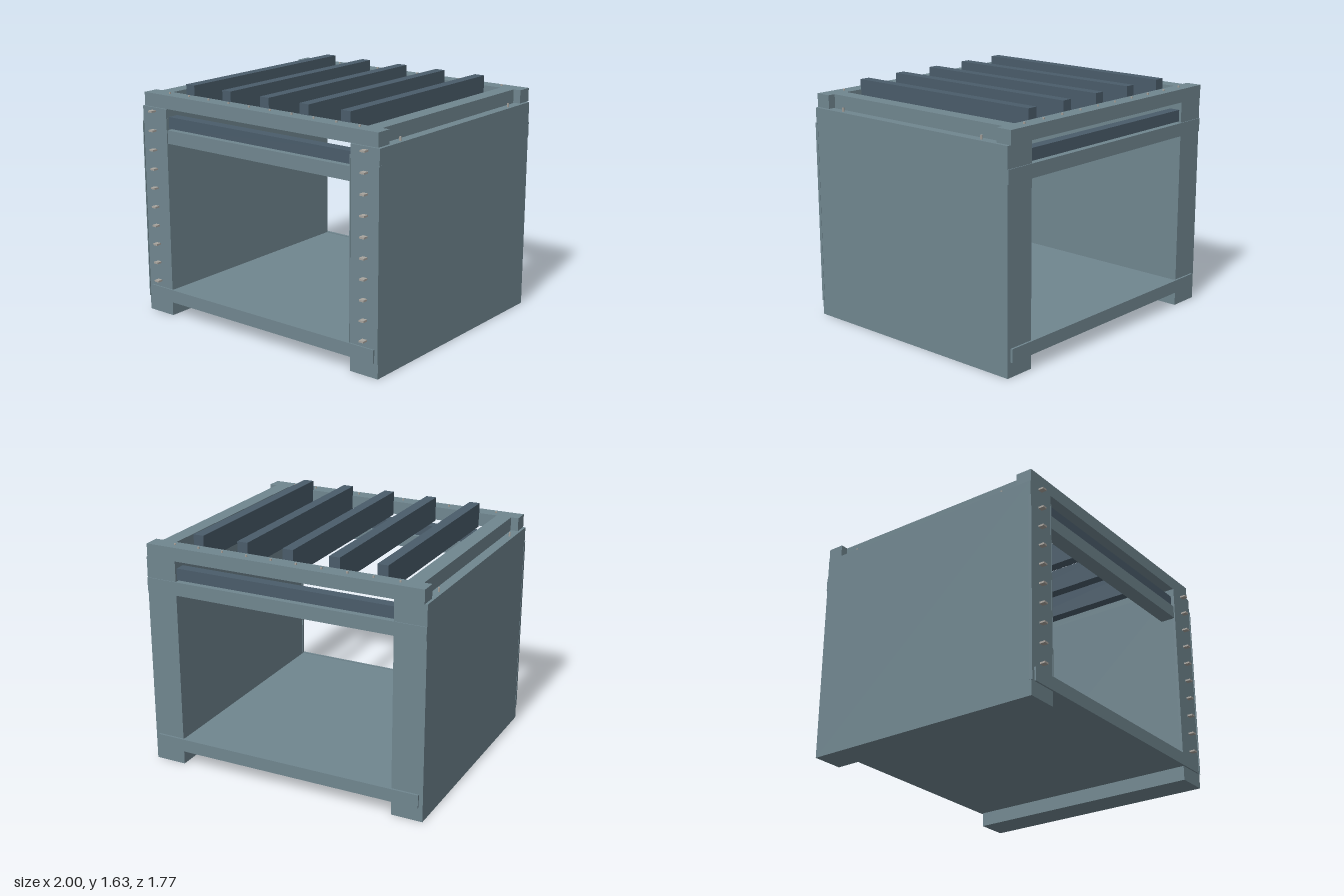
import * as THREE from 'three';

const paint = new THREE.MeshStandardMaterial({ color: 0x70868f });
paint.name = 'blue grey panel';
const dark = new THREE.MeshStandardMaterial({ color: 0x4a5c6a });
dark.name = 'dark slate';
const metal = new THREE.MeshStandardMaterial({ color: 0xa8a49e });
metal.name = 'light metal';

// Box given by its limits on each axis
function block(parent, name, mat, [x0, x1], [y0, y1], [z0, z1]) {
  const mesh = new THREE.Mesh(new THREE.BoxGeometry(x1 - x0, y1 - y0, z1 - z0), mat);
  mesh.position.set((x0 + x1) / 2, (y0 + y1) / 2, (z0 + z1) / 2);
  mesh.name = name;
  parent.add(mesh);
  return mesh;
}

// Small upright nail standing on height y
function nail(parent, x, y, z, height = 0.012) {
  const mesh = new THREE.Mesh(new THREE.CylinderGeometry(0.007, 0.007, height, 8), metal);
  mesh.position.set(x, y + height / 2, z);
  mesh.name = 'nail';
  parent.add(mesh);
}

// Limits mirrored to the chosen side
const span = (s, a, b) => (s > 0 ? [a, b] : [-b, -a]);

export function createModel() {
  const model = new THREE.Group();
  model.name = 'slattedCrate';

  // Thick side walls standing on the ground, and the floor between them
  for (const s of [1, -1]) {
    const side = new THREE.Group();
    side.name = s > 0 ? 'leftSide' : 'rightSide';
    model.add(side);
    block(side, 'sideWall', paint, span(s, 0.78, 0.998), [0, 1.465], [-0.872, 0.85]);
    // Thin edge strips on the front post
    block(side, 'outerEdgeStrip', paint, span(s, 0.994, 1), [0.1, 1.36], [0.835, 0.857]);
    block(side, 'innerEdgeStrip', paint, span(s, 0.775, 0.781), [0.19, 1.4], [0.835, 0.853]);
    // Row of pegs up the front post
    for (let i = 0; i < 10; i++) {
      const y = 0.235 + i * 0.134;
      block(side, 'peg', metal, span(s, 0.877, 0.913), [y - 0.006, y + 0.006], [0.845, 0.888]);
    }
    // Side rail of the top frame with its nails
    block(side, 'topSideRail', paint, span(s, 0.825, 0.93), [1.465, 1.56], [-0.775, 0.735]);
    for (const z of [0.605, -0.637]) {
      for (const x of [0.8, 0.97]) nail(side, s * x, 1.465, z, 0.028);
    }
  }
  block(model, 'floor', paint, [-0.78, 0.78], [0.1, 0.185], [-0.872, 0.85]);

  // Bottom bars across the front and back
  block(model, 'frontBottomBar', paint, [-0.97, 0.97], [0.1, 0.19], [0.845, 0.861]);
  block(model, 'backBottomBar', paint, [-0.97, 0.97], [0.1, 0.19], [-0.886, -0.865]);

  // Upper cross bars: painted bar below, dark bar above
  block(model, 'frontUpperBar', paint, [-0.78, 0.78], [1.23, 1.322], [0.74, 0.845]);
  block(model, 'backUpperBar', paint, [-0.998, 0.998], [1.23, 1.322], [-0.878, -0.775]);
  block(model, 'frontDarkBar', dark, [-0.78, 0.78], [1.33, 1.41], [0.745, 0.825]);
  block(model, 'backDarkBar', dark, [-0.78, 0.78], [1.33, 1.41], [-0.855, -0.78]);

  // Front and back rails of the top frame
  block(model, 'topFrontRail', paint, [-0.983, 0.983], [1.468, 1.56], [0.733, 0.845]);
  block(model, 'topBackRail', paint, [-0.983, 0.983], [1.468, 1.56], [-0.885, -0.773]);
  for (let i = 0; i < 10; i++) {
    const x = -0.8 + (i * 1.6) / 9;
    for (const z of [0.787, -0.828]) {
      nail(model, x, 1.56, z);
      if (Math.abs(x) < 0.75) nail(model, x, 1.322, z);
    }
  }

  // Roof slats running front to back
  for (let i = -2; i <= 2; i++) {
    const x = i * 0.328;
    block(model, 'roofSlat', dark, [x - 0.037, x + 0.037], [1.46, 1.63], [-0.77, 0.738]);
  }
  return model;
}
